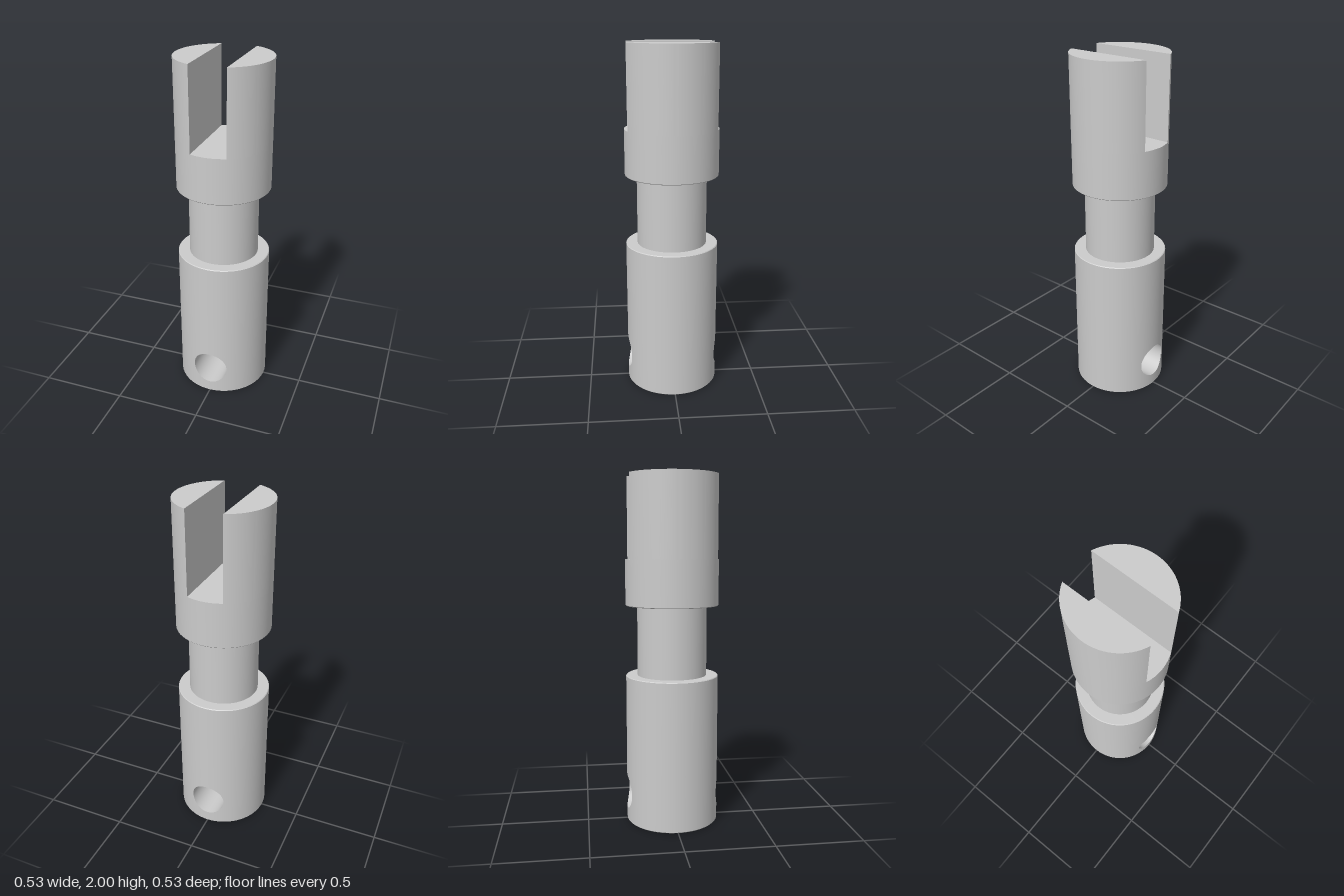
import * as THREE from 'three';
import { mergeGeometries, toCreasedNormals } from 'three/addons/utils/BufferGeometryUtils.js';
import { ParametricGeometry } from 'three/addons/geometries/ParametricGeometry.js';

const R = 0.267, NECK = 0.2, C = 0.004, SEG = 64;
const HOLE_Y = 0.17, HOLE_R = 0.102, BAND_TOP = 2 * HOLE_Y - C;
const SLOT = 0.101, SLOT_Y = 1.533, TOP = 2;

// Lathe with a sharp edge at every profile point
function sharpLathe(profile) {
  const rings = [];
  for (let i = 0; i < profile.length - 1; i++) {
    const pair = [profile[i], profile[i + 1]].map(([r, y]) => new THREE.Vector2(r, y));
    rings.push(new THREE.LatheGeometry(pair, SEG));
  }
  return mergeGeometries(rings);
}

// Point on the perimeter of the square [-1, 1], counterclockwise from a corner
function squarePoint(u) {
  const side = Math.min(3, Math.floor(u * 4)), t = (u * 4 - side) * 2 - 1;
  return [[t, -1], [1, t], [-t, 1], [-1, -t]][side];
}

// Half of the cylinder wall around the cross hole
function drilledWall(u, v, target) {
  const [sx, sy] = squarePoint(u);
  const a = Math.atan2(sy, sx);
  const theta = THREE.MathUtils.lerp(sx * Math.PI / 2, Math.asin(HOLE_R * Math.cos(a) / R), v);
  const y = THREE.MathUtils.lerp(sy * (HOLE_Y - C), HOLE_R * Math.sin(a), v);
  target.set(R * Math.sin(theta), HOLE_Y + y, R * Math.cos(theta));
}

// Inside of the cross hole, ending on the curved wall
function bore(u, v, target) {
  const [sx, sy] = squarePoint(u);
  const a = Math.atan2(sy, sx), x = HOLE_R * Math.cos(a);
  target.set(x, HOLE_Y + HOLE_R * Math.sin(a), Math.sqrt(R * R - x * x) * (1 - 2 * v));
}

export function createModel() {
  const model = new THREE.Group();
  const material = new THREE.MeshStandardMaterial({ color: 0xcccccc });
  const add = (name, geometry) => {
    const mesh = new THREE.Mesh(geometry, material);
    mesh.name = name;
    model.add(mesh);
    return mesh;
  };

  // Base and drilled band
  add('baseCap', sharpLathe([[0, 0], [R - C, 0], [R, C]]));
  add('drilledWallFront', new ParametricGeometry(drilledWall, SEG * 2, 16));
  add('drilledWallBack', new ParametricGeometry(drilledWall, SEG * 2, 16)).rotation.y = Math.PI;
  add('crossHole', new ParametricGeometry(bore, SEG * 2, 4));

  // Lower body, neck and collar
  add('lowerBody', sharpLathe([[R, BAND_TOP], [R, 0.867 - C], [R - C, 0.867], [NECK, 0.867]]));
  add('neck', sharpLathe([[NECK, 0.867], [NECK, 1.27]]));
  add('collar', sharpLathe([[NECK, 1.27], [R - C, 1.27], [R, 1.27 + C], [R, SLOT_Y], [0, SLOT_Y]]));

  // Two fork prongs, each a circle segment
  const half = Math.acos(SLOT / R);
  const segment = new THREE.Shape().absarc(0, 0, R, -half, half, false);
  const prong = toCreasedNormals(new THREE.ExtrudeGeometry(segment, {
    depth: TOP - SLOT_Y, bevelEnabled: false, curveSegments: 32,
  }).rotateX(-Math.PI / 2).translate(0, SLOT_Y, 0), 0.5);
  add('leftProng', prong);
  add('rightProng', prong).rotation.y = Math.PI;

  return model;
}
